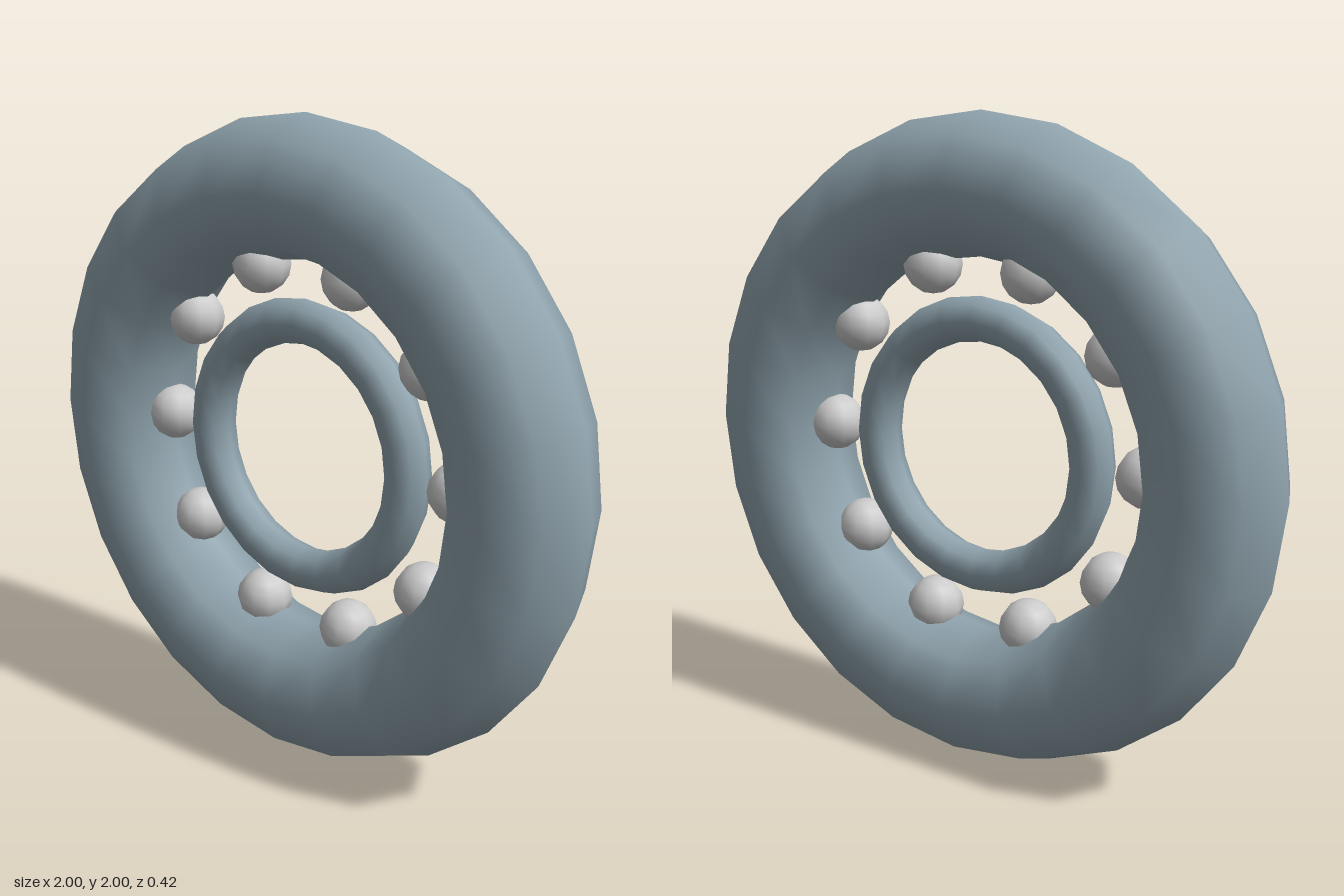
import * as THREE from 'three';

export function createModel() {
  const group = new THREE.Group();
  group.name = 'ballBearing';
  const steel = new THREE.MeshStandardMaterial({ color: 0x90a4ae });
  const grey = new THREE.MeshStandardMaterial({ color: 0xcccccc });

  const add = (name, geometry, material, x = 0, y = 0) => {
    const mesh = new THREE.Mesh(geometry, material);
    mesh.name = name;
    mesh.position.set(x, 1 + y, 0);
    group.add(mesh);
  };

  // Outer and inner races
  add('outerRace', new THREE.TorusGeometry(0.79, 0.21, 8, 24), steel);
  add('innerRace', new THREE.TorusGeometry(0.395, 0.069, 8, 24), steel);

  // Ten balls spaced evenly between the races
  const ball = new THREE.SphereGeometry(0.09, 10, 8);
  const count = 10, ringRadius = 0.573;
  for (let i = 0; i < count; i++) {
    const a = (i / count) * Math.PI * 2;
    add(`ball${i + 1}`, ball, grey, ringRadius * Math.cos(a), ringRadius * Math.sin(a));
  }
  return group;
}
